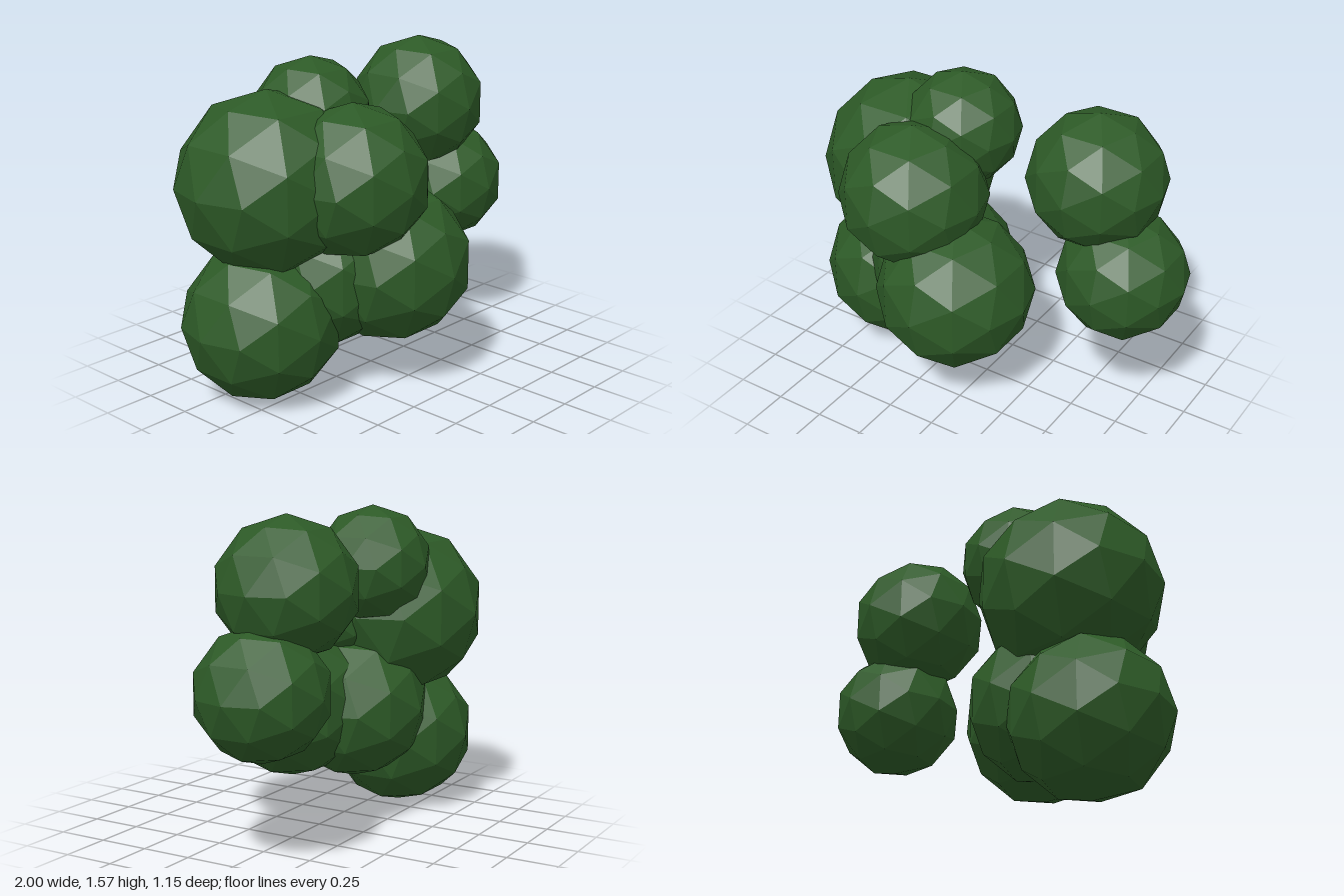
import * as THREE from 'three';

// Leaf clumps: centre x, y, z and radius
const CLUMPS = [
  ['lowerRightClump', -0.62, 0.385, -0.12, 0.38],
  ['upperRightClump', -0.54, 1.03, -0.143, 0.435],
  ['topClump', -0.24, 1.285, -0.16, 0.287],
  ['upperFrontClump', -0.305, 1.05, 0.167, 0.362],
  ['lowerFrontClump', -0.06, 0.607, 0.187, 0.387],
  ['innerClump', -0.285, 0.57, -0.04, 0.37],
  ['upperLeftClump', 0.51, 1.24, -0.14, 0.332],
  ['lowerLeftClump', 0.68, 0.795, -0.117, 0.315],
];

export function createModel() {
  const foliage = new THREE.Group();
  foliage.name = 'foliage';
  const leafGreen = new THREE.MeshStandardMaterial({ color: 0x2d5a27, flatShading: true });
  leafGreen.name = 'leafGreen';

  // Every clump is a faceted ball
  for (const [name, x, y, z, radius] of CLUMPS) {
    const clump = new THREE.Mesh(new THREE.IcosahedronGeometry(radius, 1), leafGreen);
    clump.name = name;
    clump.position.set(x, y, z);
    foliage.add(clump);
  }
  return foliage;
}
